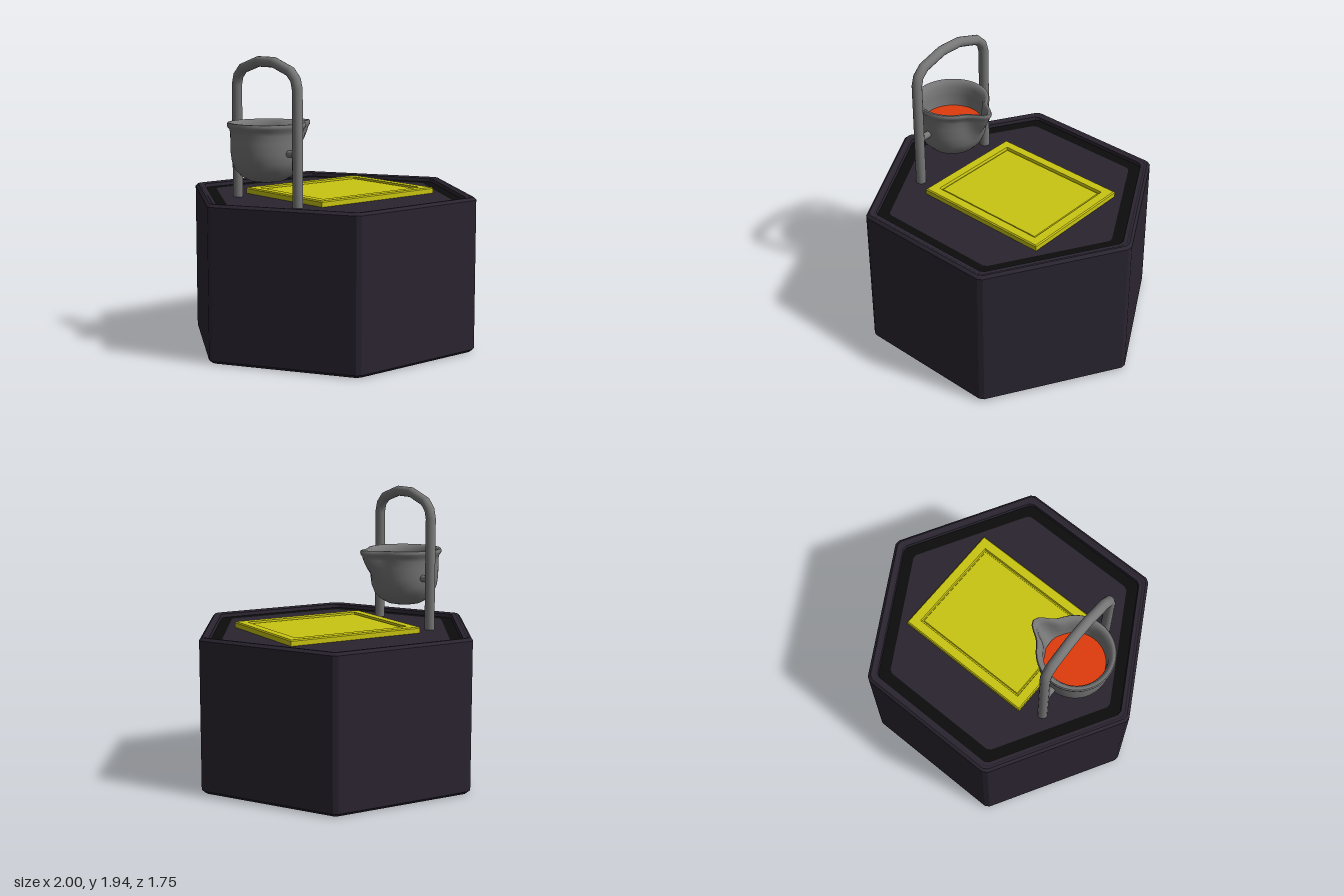
import * as THREE from 'three';
import { toCreasedNormals } from 'three/addons/utils/BufferGeometryUtils.js';

const V = (x, y, z) => new THREE.Vector3(x, y, z);
const mat = (color) => new THREE.MeshStandardMaterial({ color });

// Skin a stack of closed rings (counter-clockwise seen against the stacking direction)
function loft(rings, crease) {
  const pos = [];
  const tri = (a, b, c) => {
    const area = b.clone().sub(a).cross(c.clone().sub(a)).length();
    if (area > 1e-9) for (const p of [a, b, c]) pos.push(p.x, p.y, p.z);
  };
  for (let i = 0; i < rings.length - 1; i++) {
    const lo = rings[i], hi = rings[i + 1], n = lo.length;
    for (let j = 0; j < n; j++) {
      const k = (j + 1) % n;
      tri(lo[j], lo[k], hi[j]);
      tri(lo[k], hi[k], hi[j]);
    }
  }
  const geo = new THREE.BufferGeometry();
  geo.setAttribute('position', new THREE.Float32BufferAttribute(pos, 3));
  return toCreasedNormals(geo, crease);
}

// Hexagon with corners on the x axis, each corner slightly chamfered
function hexRing([r, y]) {
  const corner = (i) => V(r * Math.cos(i * Math.PI / 3), y, -r * Math.sin(i * Math.PI / 3));
  const ring = [];
  for (let i = 0; i < 6; i++) {
    ring.push(corner(i).lerp(corner(i + 5), 0.02), corner(i).lerp(corner(i + 1), 0.02));
  }
  return ring;
}

// Rectangle of the cover plate, shrunk by an inset
function plateRing([inset, y]) {
  const hx = Math.max(0.485 - inset, 0), hz = Math.max(0.405 - inset, 0), cx = 0.075;
  return [V(cx + hx, y, hz), V(cx + hx, y, -hz), V(cx - hx, y, -hz), V(cx - hx, y, hz)];
}

const POT_X = -0.54;

// Round pot section, pulled out to a pouring spout towards +x near the top
function potRing([r, y]) {
  const ring = [], n = 64;
  const pull = 0.095 * THREE.MathUtils.smoothstep(y, 1.29, 1.47);
  for (let j = 0; j < n; j++) {
    const a = j / n * Math.PI * 2;
    const off = Math.min(a, Math.PI * 2 - a);
    const rr = r + pull * Math.exp(-((off / 0.25) ** 2));
    ring.push(V(POT_X + rr * Math.cos(a), y, -rr * Math.sin(a)));
  }
  return ring;
}

// Round bar following a path of [z, y] points
function barRings(path, radius, sides) {
  const pts = path.map(([z, y]) => V(POT_X, y, z));
  const nx = V(1, 0, 0);
  return pts.map((p, i) => {
    const before = i ? p.clone().sub(pts[i - 1]).normalize() : V(0, 0, 0);
    const after = i < pts.length - 1 ? pts[i + 1].clone().sub(p).normalize() : V(0, 0, 0);
    const side = before.add(after).normalize().cross(nx);
    return Array.from({ length: sides }, (_, j) => {
      const a = j / sides * Math.PI * 2;
      return p.clone().addScaledVector(nx, radius * Math.cos(a)).addScaledVector(side, radius * Math.sin(a));
    });
  });
}

export function createModel() {
  const model = new THREE.Group();
  const add = (name, geo, material, parent = model) => {
    const mesh = new THREE.Mesh(geo, material);
    mesh.name = name;
    parent.add(mesh);
    return mesh;
  };
  const stone = mat(0x2a2430), black = mat(0x0c0c0c), yellow = mat(0xcac612);
  const metal = mat(0x777777), molten = mat(0xdf3c0c);

  // Hexagonal block with bevelled rim
  add('base', loft([[0, 0], [0.985, 0], [1.01, 0.02], [1.01, 1.012], [0.99, 1.03],
    [0.975, 1.03], [0.965, 1.024], [0.94, 1.024], [0.935, 1.0]].map(hexRing), 0.4), stone);
  // Dark border and sunken top inside the rim
  add('topBorder', loft([[0.935, 1.0], [0.85, 1.0]].map(hexRing), 0.4), black);
  add('topFloor', loft([[0.85, 1.0], [0, 1.0]].map(hexRing), 0.4), stone);

  // Framed cover plate
  add('coverPlate', loft([[0, 0.99], [0, 1.032], [0.007, 1.04], [0.065, 1.04], [0.07, 1.022],
    [0.078, 1.022], [0.082, 1.03], [0.5, 1.03]].map(plateRing), 0.3), yellow);

  // Pot: outer wall, rolled lip, inner wall
  const crucible = new THREE.Group();
  crucible.name = 'crucible';
  model.add(crucible);
  add('pot', loft([[0, 1.133], [0.06, 1.134], [0.115, 1.145], [0.165, 1.173], [0.203, 1.215], [0.225, 1.27],
    [0.233, 1.33], [0.234, 1.4], [0.234, 1.45], [0.239, 1.475], [0.252, 1.492], [0.255, 1.508],
    [0.249, 1.52], [0.237, 1.521], [0.222, 1.511], [0.208, 1.48], [0.203, 1.42], [0.2, 1.35],
    [0.19, 1.29], [0.13, 1.23], [0, 1.2]].map(potRing), 1.0), metal, crucible);
  // Molten filling
  const pool = add('moltenPool', new THREE.CircleGeometry(0.205, 48), molten, crucible);
  pool.rotation.x = -Math.PI / 2;
  pool.position.set(POT_X, 1.34, 0);
  // Pivot pins
  for (const s of [1, -1]) {
    const pin = add('pivotPin', new THREE.CylinderGeometry(0.023, 0.023, 0.09, 16), metal, crucible);
    pin.rotation.x = Math.PI / 2;
    pin.position.set(POT_X, 1.335, s * 0.26);
  }

  // Arched hanger, mirrored across the middle
  const half = [[0.32, 0.99], [0.32, 1.745], [0.303, 1.805], [0.25, 1.855], [0.08, 1.906]];
  const path = [...half, ...half.map(([z, y]) => [-z, y]).reverse()];
  add('hangerArch', loft(barRings(path, 0.034, 16), 0.7), metal);

  return model;
}
